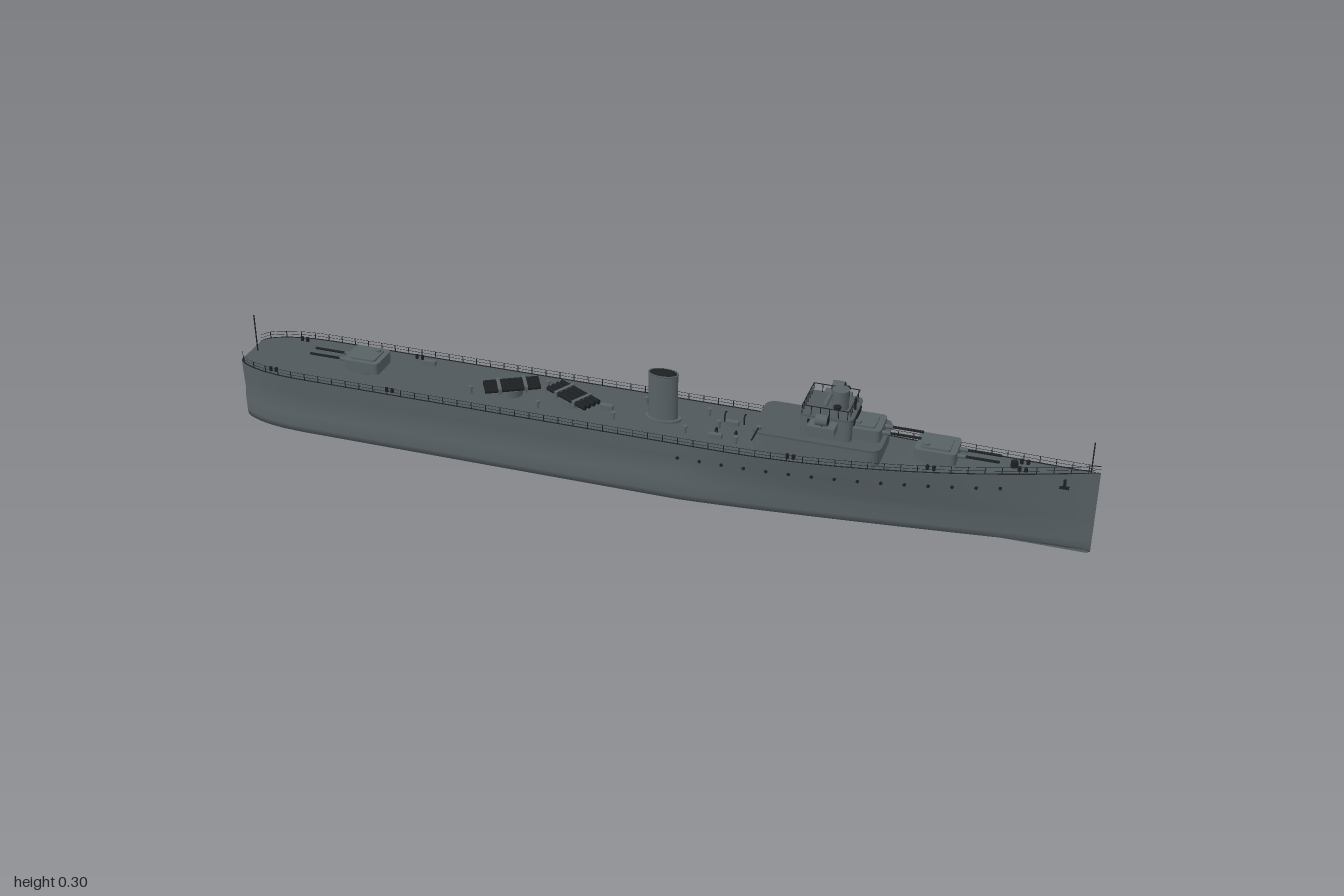
import * as THREE from 'three';
import { mergeGeometries } from 'three/addons/utils/BufferGeometryUtils.js';

export function createModel() {
  const mat = (name, color, side = THREE.FrontSide) => {
    const m = new THREE.MeshStandardMaterial({ color, side });
    m.name = name;
    return m;
  };
  const hullGrey = mat('hull grey', 0x586165);
  const deckGrey = mat('deck grey', 0x4f585c);
  const dark = mat('dark fittings', 0x1d2022, THREE.DoubleSide);

  const root = new THREE.Group();
  const ship = new THREE.Group();
  ship.name = 'ship';
  ship.position.z = -0.006;
  root.add(ship);

  const add = (name, geo, material, parent = ship) => {
    const m = new THREE.Mesh(geo, material);
    m.name = name;
    parent.add(m);
    return m;
  };
  const lerp = THREE.MathUtils.lerp;
  const box = (w, h, d, x, y, z) => new THREE.BoxGeometry(w, h, d).translate(x, y, z);
  const cyl = (r, h, x, y, z, n = 12, r2 = r) => new THREE.CylinderGeometry(r, r2, h, n).translate(x, y, z);
  const rodX = (r, x0, x1, y, z) =>
    new THREE.CylinderGeometry(r, r, x1 - x0, 8).rotateZ(Math.PI / 2).translate((x0 + x1) / 2, y, z);
  const rodZ = (r, z0, z1, x, y, n = 10) =>
    new THREE.CylinderGeometry(r, r, z1 - z0, n).rotateX(Math.PI / 2).translate(x, y, (z0 + z1) / 2);

  // Block with rounded plan corners
  const block = (x0, x1, half, y0, y1, r) => {
    const s = new THREE.Shape();
    s.moveTo(x0 + r, -half).lineTo(x1 - r, -half).quadraticCurveTo(x1, -half, x1, -half + r);
    s.lineTo(x1, half - r).quadraticCurveTo(x1, half, x1 - r, half);
    s.lineTo(x0 + r, half).quadraticCurveTo(x0, half, x0, half - r);
    s.lineTo(x0, -half + r).quadraticCurveTo(x0, -half, x0 + r, -half);
    return new THREE.ExtrudeGeometry(s, { depth: y1 - y0, bevelEnabled: false, curveSegments: 5 })
      .rotateX(-Math.PI / 2).translate(0, y0, 0);
  };

  // Surface through rows of points
  const loft = (rows) => {
    const n = rows[0].length, idx = [];
    for (let i = 0; i < rows.length - 1; i++) for (let j = 0; j < n - 1; j++) {
      const a = i * n + j, b = a + n;
      idx.push(a, a + 1, b, b, a + 1, b + 1);
    }
    const g = new THREE.BufferGeometry();
    g.setAttribute('position', new THREE.Float32BufferAttribute(rows.flat(2), 3));
    g.setIndex(idx);
    g.computeVertexNormals();
    return g;
  };

  // Hull lines: deck height, deck half-width and bottom half-width along x
  const deckY = (x) => 0.157 + 0.044 * Math.max(0, (x - 0.25) / 0.75) ** 2;
  const sternEase = (x) => {
    const u = Math.min(1, Math.max(0, (-0.83 - x) / 0.17));
    return 0.45 + 0.55 * Math.sqrt(1 - u * u);
  };
  const deckHalf = (x) => 0.1 * sternEase(x) * (1 - Math.max(0, (x - 0.2) / 0.8) ** 1.7) + 0.0004;
  const bottomHalf = (x) => 0.1 * sternEase(x) * (1 - Math.max(0, (x - 0.1) / 0.9) ** 1.2) + 0.0004;
  const half = (x, k) => {
    const d = deckHalf(x) * k, b = bottomHalf(x) * k;
    return [[deckY(x), d], [0.12, lerp(d, b, 0.3) * 0.975], [0.085, lerp(d, b, 0.6) * 0.94],
      [0.062, b], [0.03, b], [0.015, b * 0.98], [0.008, b * 0.55]];
  };
  const section = (x, k = 1) => {
    const h = half(x, k);
    return [...h.map(([y, z]) => [x, y, z]), [x, 0.002, 0],
      ...h.reverse().map(([y, z]) => [x, y, -z])];
  };
  const sideAt = (x, y) => {
    const h = half(x, 1);
    return lerp(h[0][1], h[1][1], (h[0][0] - y) / (h[0][0] - h[1][0]));
  };
  const xs = [-1, -0.997, -0.99, -0.975, -0.95, -0.92, -0.88, -0.83];
  for (let x = -0.7; x < 0.15; x += 0.2) xs.push(x);
  for (let x = 0.15; x < 1.001; x += 0.05) xs.push(Math.min(x, 1));

  add('hull', loft([section(-1, 0.001), ...xs.map((x) => section(x))]), hullGrey);
  add('keel', box(1.95, 0.004, 0.004, 0.02, 0.002, 0), hullGrey);
  add('deck', loft(xs.map((x) => [[x, deckY(x), -deckHalf(x)], [x, deckY(x), deckHalf(x)]])), deckGrey);
  for (const s of [1, -1]) {
    add('gunwale', loft(xs.map((x) => {
      const z = deckHalf(x), a = s * z, b = s * Math.max(z - 0.005, 0);
      return [[x, deckY(x) + 0.001, Math.min(a, b)], [x, deckY(x) + 0.001, Math.max(a, b)]];
    })), dark);
  }

  // Railing, portholes and bollards on both sides
  const posts = [], ports = [], bollards = [];
  for (const s of [1, -1]) {
    const inset = (x) => s * Math.max(deckHalf(x) - 0.002, 0);
    for (let x = -0.985; x < 0.99; x += 0.035) posts.push(box(0.0016, 0.017, 0.0016, x, deckY(x) + 0.0085, inset(x)));
    for (const h of [0.009, 0.017]) {
      const path = new THREE.CatmullRomCurve3(xs.map((x) => new THREE.Vector3(x, deckY(x) + h, inset(x))));
      posts.push(new THREE.TubeGeometry(path, 80, 0.0005, 4));
    }
    for (let x = 0.1; x < 0.82; x += 0.05) {
      const y = deckY(x) - 0.034, z = s * sideAt(x, y);
      ports.push(rodZ(0.0038, z - 0.003, z + 0.003, x, y));
    }
    for (const x of [-0.9, -0.6, 0.35, 0.65, 0.84]) for (const dx of [-0.007, 0.007]) {
      bollards.push(cyl(0.004, 0.01, x + dx, deckY(x) + 0.005, s * (deckHalf(x) - 0.016), 8));
    }
    // Anchor
    const z = s * sideAt(0.93, 0.168);
    add('anchor', mergeGeometries([box(0.006, 0.022, 0.006, 0.93, 0.17, z), box(0.02, 0.006, 0.007, 0.93, 0.161, z)]), dark);
  }
  add('railing', mergeGeometries(posts), dark);
  add('portholes', mergeGeometries(ports), dark);
  add('bollards', mergeGeometries(bollards), dark);

  // Flagstaffs
  add('jackstaff', cyl(0.0015, 0.075, 0.98, 0.235, 0, 6), dark);
  add('ensignStaff', cyl(0.0015, 0.095, -0.985, 0.204, 0, 6), dark);

  // Twin gun turrets; dir is the way the barrels point
  const turret = (name, x, y, len, reach, dir) => {
    const g = new THREE.Group();
    g.name = name;
    g.position.set(x, y, 0);
    g.rotation.y = dir > 0 ? 0 : Math.PI;
    ship.add(g);
    add('barbette', cyl(0.03, 0.014, 0, 0.004, 0, 20), hullGrey, g);
    add('gunhouse', block(-len / 2, len / 2, 0.039, 0.009, 0.037, 0.012), hullGrey, g);
    add('roofPlate', block(-len / 2 + 0.012, len / 2 - 0.014, 0.029, 0.037, 0.041, 0.008), hullGrey, g);
    add('hatch', cyl(0.007, 0.005, -len / 4, 0.043, 0.018, 10), hullGrey, g);
    for (const z of [-0.014, 0.014]) {
      add('barrel', rodX(0.003, len / 2 - 0.01, reach, 0.024, z), dark, g);
      add('barrelSleeve', rodX(0.005, len / 2 - 0.01, len / 2 + 0.018, 0.024, z), hullGrey, g);
    }
  };
  turret('foreTurret', 0.655, 0.172, 0.09, 0.135, 1);
  turret('upperTurret', 0.5, 0.199, 0.07, 0.12, 1);
  turret('aftTurret', -0.695, 0.158, 0.09, 0.14, -1);

  // Bridge superstructure
  add('deckhouse', block(0.26, 0.54, 0.07, 0.15, 0.203, 0.025), hullGrey);
  add('deckhouseRoof', block(0.256, 0.544, 0.073, 0.201, 0.206, 0.027), deckGrey);
  add('bridgeHouse', block(0.36, 0.475, 0.054, 0.204, 0.258, 0.016), hullGrey);
  add('bridgeFloor', block(0.358, 0.477, 0.056, 0.256, 0.26, 0.016), deckGrey);
  const windows = [];
  for (let z = -0.03; z < 0.031; z += 0.015) windows.push(box(0.004, 0.012, 0.011, 0.475, 0.245, z));
  for (const s of [1, -1]) for (const x of [0.385, 0.41, 0.435]) windows.push(box(0.014, 0.01, 0.003, x, 0.245, s * 0.0535));
  add('bridgeWindows', mergeGeometries(windows), dark);
  add('director', cyl(0.0185, 0.045, 0.437, 0.2815, 0, 20), hullGrey);
  add('rangefinder', rodZ(0.005, -0.034, 0.034, 0.41, 0.275), hullGrey);
  add('mast', cyl(0.0025, 0.03, 0.47, 0.273, 0, 8), dark);

  // Bridge rail
  const rail = [];
  for (const s of [1, -1]) {
    for (let x = 0.365; x < 0.475; x += 0.02) rail.push(box(0.0016, 0.021, 0.0016, x, 0.2695, s * 0.051));
    rail.push(box(0.102, 0.0015, 0.0015, 0.416, 0.28, s * 0.051));
  }
  for (const x of [0.365, 0.468]) {
    rail.push(box(0.0015, 0.0015, 0.102, x, 0.28, 0));
    for (let z = -0.034; z < 0.04; z += 0.017) rail.push(box(0.0016, 0.021, 0.0016, x, 0.2695, z));
  }
  add('bridgeRail', mergeGeometries(rail), dark);

  // Wing platforms, searchlights and sighting pedestals
  for (const s of [1, -1]) {
    add('wingPlatform', box(0.06, 0.018, 0.036, 0.415, 0.243, s * 0.07), hullGrey);
    add('searchlightPost', cyl(0.004, 0.012, 0.415, 0.255, s * 0.077, 8), dark);
    add('searchlight', rodX(0.013, 0.402, 0.428, 0.266, s * 0.077), hullGrey);
    add('searchlightLens', rodX(0.011, 0.427, 0.4295, 0.266, s * 0.077), dark);
    add('pedestal', cyl(0.0045, 0.024, 0.44, 0.27, s * 0.044, 10), hullGrey);
    add('pedestalSight', cyl(0.0085, 0.005, 0.44, 0.2835, s * 0.044, 10), dark);
  }

  // Light gun on the port-side corner of the deckhouse
  add('lightGunMount', cyl(0.006, 0.012, 0.272, 0.207, 0.058, 10), hullGrey);
  add('lightGun', rodZ(0.002, 0.06, 0.116, 0.272, 0.211, 8), dark);

  // Oval funnel
  const oval = (g) => g.scale(1, 1, 0.55).translate(0.035, 0, 0);
  add('funnel', oval(cyl(0.034, 0.116, 0, 0.215, 0, 28)), hullGrey);
  add('funnelRim', oval(new THREE.TorusGeometry(0.034, 0.002, 6, 28).rotateX(Math.PI / 2).translate(0, 0.273, 0)), hullGrey);
  add('funnelMouth', oval(cyl(0.031, 0.002, 0, 0.2735, 0, 28)), dark);
  add('funnelBase', oval(cyl(0.042, 0.008, 0, 0.159, 0, 28)), hullGrey);

  // Quadruple torpedo mounts, trained apart
  for (const [x, turn] of [[-0.33, 0.5], [-0.18, -0.5]]) {
    const g = new THREE.Group();
    g.name = 'torpedoMount';
    g.position.set(x, 0.157, 0);
    g.rotation.y = turn;
    ship.add(g);
    add('turntable', cyl(0.025, 0.016, 0, 0.008, 0, 18), hullGrey, g);
    for (let i = -1.5; i < 2; i++) add('tube', rodX(0.0058, -0.064, 0.064, 0.022, i * 0.0135), dark, g);
    for (const bx of [-0.03, 0.03]) add('clamp', box(0.008, 0.015, 0.056, bx, 0.021, 0), hullGrey, g);
  }

  // Vents, lockers and davits on the open deck
  const vents = [], lockers = [], davits = [];
  for (const [x, z] of [[-0.42, 0.03], [-0.26, -0.05], [-0.25, 0.045], [-0.07, 0.04], [-0.02, -0.05],
    [0.1, 0.045], [0.13, -0.045], [0.165, 0.0], [0.22, 0.055]]) {
    vents.push(cyl(0.0035, 0.016, x, 0.164, z, 8), cyl(0.006, 0.005, x, 0.173, z, 8));
  }
  for (const [x, z] of [[-0.565, -0.065], [-0.1, 0], [0.19, -0.02], [0.17, 0.045]]) lockers.push(box(0.03, 0.012, 0.012, x, 0.162, z));
  for (const s of [1, -1]) for (const x of [0.17, 0.215]) {
    const c = new THREE.CatmullRomCurve3([[0.155, 0.03], [0.172, 0.03], [0.178, 0.037], [0.174, 0.046]]
      .map(([y, z]) => new THREE.Vector3(x, y, s * z)));
    davits.push(new THREE.TubeGeometry(c, 10, 0.0018, 5));
  }
  add('vents', mergeGeometries(vents), hullGrey);
  add('lockers', mergeGeometries(lockers), hullGrey);
  add('davits', mergeGeometries(davits), dark);
  add('capstan', cyl(0.008, 0.014, 0.82, deckY(0.82) + 0.007, 0, 12), dark);

  return root;
}
